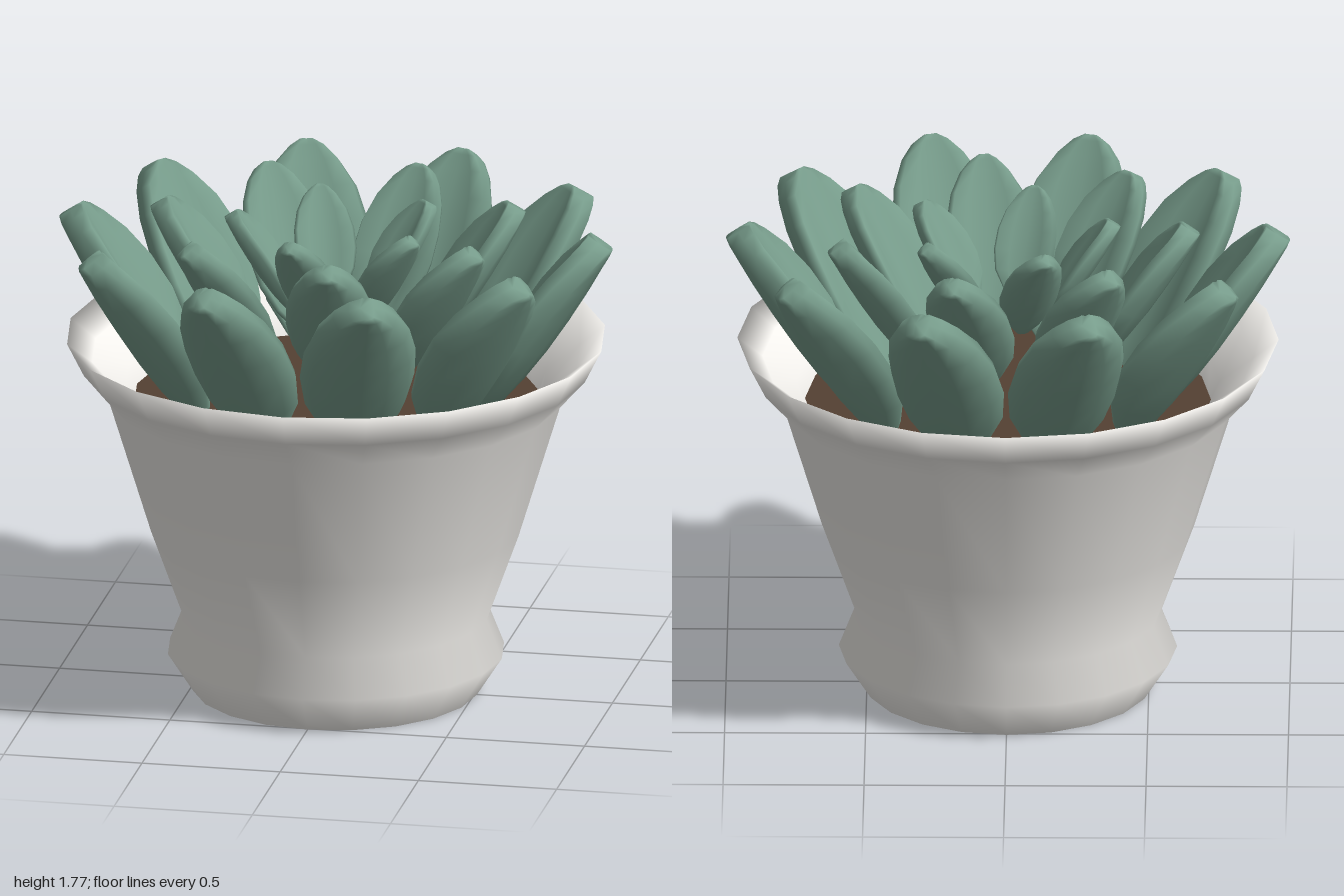
import * as THREE from 'three';

const SIDES = 20;

// Leaf rows from base to tip: [position 0..1, half width, thickness]
const LEAF_ROWS = [
  [0, 0.04, 0.04], [0.1, 0.11, 0.07], [0.25, 0.18, 0.095], [0.42, 0.205, 0.11], [0.6, 0.2, 0.115],
  [0.77, 0.168, 0.115], [0.9, 0.115, 0.11], [0.97, 0.065, 0.11], [1, 0.025, 0.105],
];
// Cross-section: [across, depth]; positive depth is the inner (upper) face
const SECTION = [
  [1, 0], [0.9, 0.4], [0.5, 0.45], [0, 0.4], [-0.5, 0.45], [-0.9, 0.4],
  [-1, 0], [-0.85, -0.42], [-0.45, -0.5], [0, -0.52], [0.45, -0.5], [0.85, -0.42],
];
const LEAF_TIP = new THREE.Vector2(0.425, 0.66);

// A thick cupped leaf leaning from the origin towards +x
function leafGeometry() {
  const n = new THREE.Vector2(-LEAF_TIP.y, LEAF_TIP.x).normalize();
  const pos = [], index = [];
  const count = SECTION.length;
  for (const [t, w, thick] of LEAF_ROWS) {
    for (const [u, d] of SECTION) {
      // The sides curl inwards
      const off = d * thick + 1.8 * (u * w) ** 2 - 0.01 * Math.sin(Math.PI * t);
      pos.push(LEAF_TIP.x * t + n.x * off, LEAF_TIP.y * t + n.y * off, u * w);
    }
  }
  for (let i = 0; i < LEAF_ROWS.length - 1; i++) {
    for (let j = 0; j < count; j++) {
      const a = i * count + j, b = i * count + (j + 1) % count;
      index.push(a, a + count, b, b, a + count, b + count);
    }
  }
  // End caps
  const last = (LEAF_ROWS.length - 1) * count;
  for (let j = 1; j < count - 1; j++) {
    index.push(0, j, j + 1);
    index.push(last, last + j + 1, last + j);
  }
  const g = new THREE.BufferGeometry();
  g.setAttribute('position', new THREE.Float32BufferAttribute(pos, 3));
  g.setIndex(index);
  g.computeVertexNormals();
  return g;
}

export function createModel() {
  const model = new THREE.Group();
  model.name = 'pottedSucculent';
  const potMat = new THREE.MeshStandardMaterial({ color: 0xf2f0ec, side: THREE.DoubleSide });
  const soilMat = new THREE.MeshStandardMaterial({ color: 0x544133, side: THREE.DoubleSide });
  const leafMat = new THREE.MeshStandardMaterial({ color: 0x779c8b });

  // Pot, open underneath: foot bulge, waist, flared wall, rim and inner lip
  const profile = [
    [0.51, 0], [0.6, 0.14], [0.545, 0.28], [0.66, 0.6], [0.81, 1.09], [0.9, 1.19],
    [0.96, 1.31], [0.87, 1.24], [0.75, 1.15], [0.71, 1.04],
  ].map(([x, y]) => new THREE.Vector2(x, y));
  const pot = new THREE.Mesh(new THREE.LatheGeometry(profile, SIDES), potMat);
  pot.name = 'pot';
  model.add(pot);

  // Soil disc
  const soil = new THREE.Mesh(new THREE.CircleGeometry(0.72, SIDES).rotateX(-Math.PI / 2), soilMat);
  soil.name = 'soil';
  soil.position.y = 1.08;
  model.add(soil);

  // Three rings of the same leaf, smaller and higher towards the centre;
  // start is the angle in degrees from +x towards +z
  const rings = [
    { name: 'outerLeaf', count: 10, start: 0, radius: 0.53, y: 1.06, size: 1 },
    { name: 'middleLeaf', count: 7, start: 30, radius: 0.32, y: 1.245, size: 0.77 },
    { name: 'innerLeaf', count: 5, start: 33, radius: 0.145, y: 1.39, size: 0.54 },
  ];
  const geometry = leafGeometry();
  for (const { name, count, start, radius, y, size } of rings) {
    for (let i = 0; i < count; i++) {
      const angle = THREE.MathUtils.degToRad(start + (360 / count) * i);
      const leaf = new THREE.Mesh(geometry, leafMat);
      leaf.name = name + (i + 1);
      leaf.position.set(radius * Math.cos(angle), y, radius * Math.sin(angle));
      leaf.rotation.y = -angle;
      leaf.scale.setScalar(size);
      model.add(leaf);
    }
  }
  return model;
}
